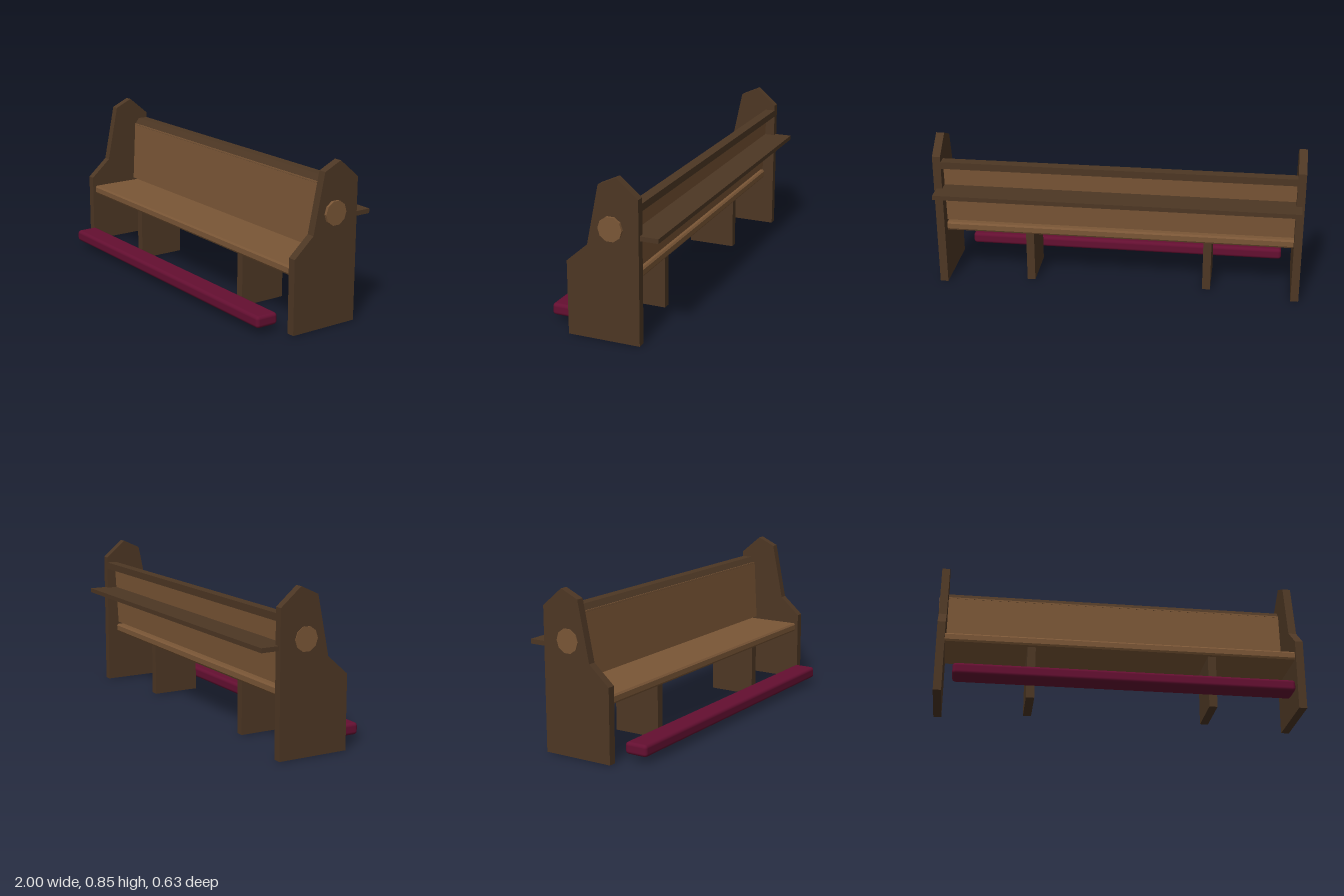
import * as THREE from 'three';
import { RoundedBoxGeometry } from 'three/addons/geometries/RoundedBoxGeometry.js';

const oak = new THREE.MeshStandardMaterial({ name: 'warm oak', color: 0x7a5636 });
const walnut = new THREE.MeshStandardMaterial({ name: 'dark walnut', color: 0x4d3724 });
const velvet = new THREE.MeshStandardMaterial({ name: 'burgundy velvet', color: 0x640f31 });

// Extrudes a side profile of [z, y] points from x0 to x1
function extrudeX(profile, x0, x1) {
  const shape = new THREE.Shape(profile.map(([z, y]) => new THREE.Vector2(z, y)));
  const geometry = new THREE.ExtrudeGeometry(shape, { depth: x1 - x0, bevelEnabled: false });
  return geometry.rotateY(-Math.PI / 2).translate(x1, 0, 0);
}

// Box given by its limits on each axis
function span(x0, x1, y0, y1, z0, z1) {
  return new THREE.BoxGeometry(x1 - x0, y1 - y0, z1 - z0)
    .translate((x0 + x1) / 2, (y0 + y1) / 2, (z0 + z1) / 2);
}

export function createModel() {
  const group = new THREE.Group();
  group.name = 'bench';
  const add = (name, geometry, material) => {
    const mesh = new THREE.Mesh(geometry, material);
    mesh.name = name;
    group.add(mesh);
    return mesh;
  };
  const inner0 = -0.953, inner1 = 0.938;

  // End panels with a stepped, peaked outline
  const endProfile = [
    [0.17, 0], [0.17, 0.39], [0.056, 0.49], [-0.008, 0.8],
    [-0.105, 0.845], [-0.218, 0.75], [-0.218, 0],
  ];
  add('rightEnd', extrudeX(endProfile, -0.996, inner0), walnut);
  add('leftEnd', extrudeX(endProfile, inner1, 0.982), walnut);

  // Ten-sided medallions on the outer faces
  for (const [name, x0, x1] of [['rightMedallion', -1, -0.98], ['leftMedallion', 0.965, 0.997]]) {
    const disc = new THREE.CylinderGeometry(0.064, 0.064, x1 - x0, 10).toNonIndexed();
    disc.computeVertexNormals();
    disc.rotateY(Math.PI / 2).rotateZ(Math.PI / 2).rotateX(Math.PI / 2);
    disc.translate((x0 + x1) / 2, 0.588, -0.073);
    add(name, disc, oak);
  }

  // Seat board with eased edges
  add('seat', extrudeX([
    [0.146, 0.29], [0.152, 0.3], [0.152, 0.328], [0.144, 0.337],
    [-0.152, 0.337], [-0.16, 0.328], [-0.16, 0.3], [-0.154, 0.29],
  ], inner0, inner1), oak);

  // Slightly reclined backrest and its capping rail
  add('backrest', extrudeX([
    [-0.118, 0.35], [-0.136, 0.69], [-0.168, 0.69], [-0.15, 0.35],
  ], inner0, inner1), oak);
  add('topRail', extrudeX([
    [-0.135, 0.682], [-0.162, 0.72], [-0.218, 0.72], [-0.218, 0.682],
  ], inner0, inner1), walnut);

  // Book shelf behind the backrest
  add('rearShelf', span(-0.982, 0.968, 0.542, 0.566, -0.315, -0.145), walnut);

  // Support boards under the seat
  for (const x of [-0.493, 0.482]) {
    add('seatSupport', span(x - 0.022, x + 0.022, 0, 0.29, -0.14, 0.125), walnut);
  }

  // Padded kneeler
  add('kneeler', new RoundedBoxGeometry(1.785, 0.063, 0.127, 3, 0.018)
    .translate(-0.0075, 0.0665, 0.253), velvet);

  return group;
}
